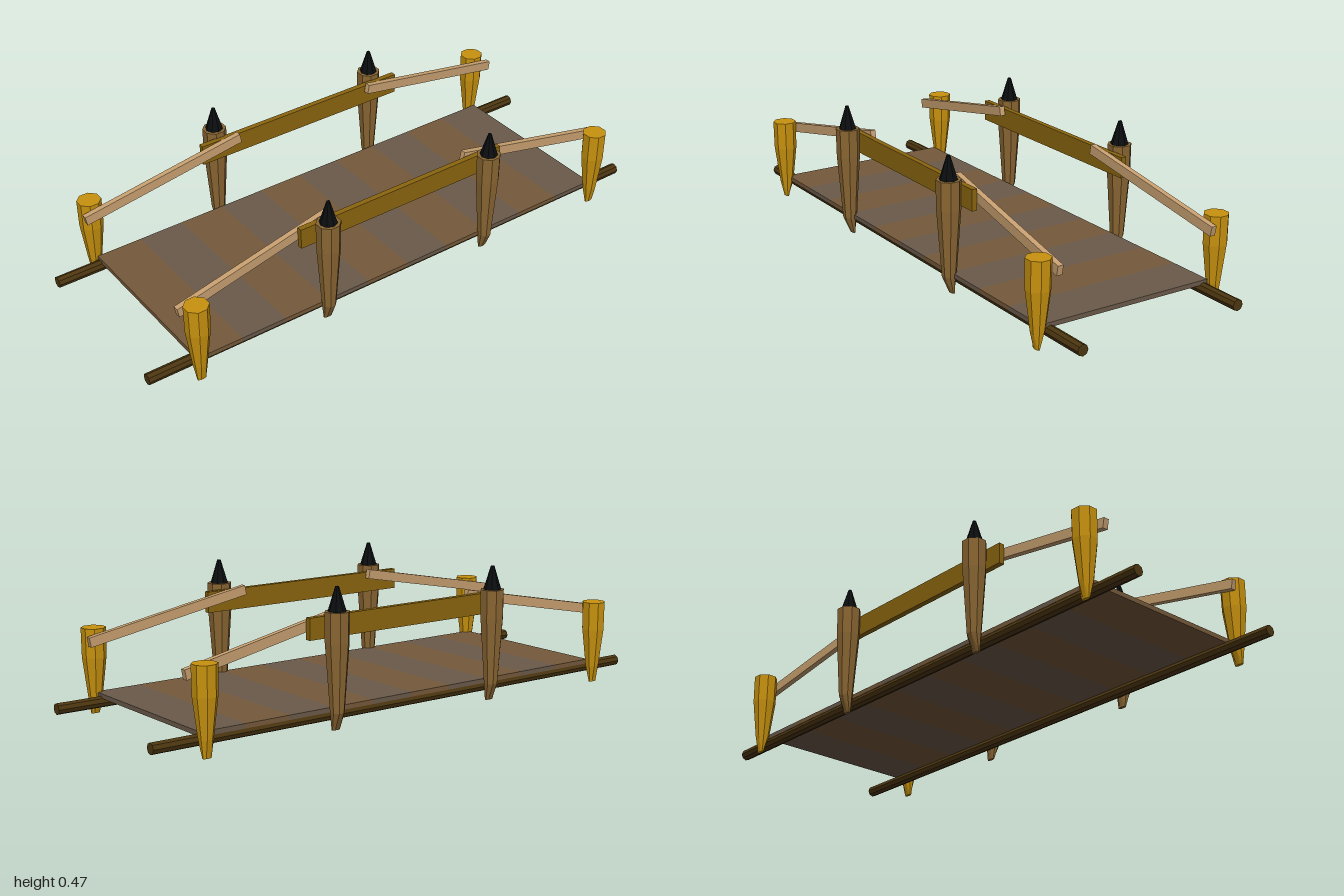
import * as THREE from 'three';

const mat = (color) => new THREE.MeshStandardMaterial({ color, flatShading: true });

export function createModel() {
  const model = new THREE.Group();
  const gold = mat(0xc8920e), wood = mat(0x8a6632), black = mat(0x0b0d0f);
  const paleWood = mat(0xc8a070), railWood = mat(0x8a650f), beamWood = mat(0x4c3610);
  const plankColors = [mat(0x6a5a4a), mat(0x75593a)];

  const add = (name, geometry, material, x = 0, y = 0, z = 0) => {
    const mesh = new THREE.Mesh(geometry, material);
    mesh.name = name;
    mesh.position.set(x, y, z);
    model.add(mesh);
    return mesh;
  };

  // Tapered eight-sided stake, its foot hewn to a narrow blade shifted sideways
  const stake = (height, shift) => {
    const profile = [[0, 0], [0.016, 0], [0.0245, 0.06], [0.041, height - 0.1], [0.042, height], [0, height]]
      .map(([r, y]) => new THREE.Vector2(r, y));
    const geometry = new THREE.LatheGeometry(profile, 8, Math.PI / 8);
    const p = geometry.attributes.position;
    for (let i = 0; i < p.count; i++) {
      if (p.getY(i) < 0.01) p.setX(i, p.getX(i) * 0.4 + shift);
    }
    geometry.computeVertexNormals();
    return geometry;
  };

  // Deck planks in alternating browns
  const plankLength = 1.67 / 10;
  for (let i = 0; i < 10; i++) {
    add('deckPlank', new THREE.BoxGeometry(0.655, 0.016, plankLength), plankColors[i % 2],
      0.01, 0.068, -0.835 + (i + 0.5) * plankLength);
  }

  for (const side of [-1, 1]) {
    // Long log under the deck edge
    const beam = add('beam', new THREE.CylinderGeometry(0.0195, 0.0195, 2, 8), beamWood, side * 0.301, 0.048, 0);
    beam.rotation.x = Math.PI / 2;

    // Level middle rail
    add('middleRail', new THREE.BoxGeometry(0.02, 0.073, 0.83), railWood, side * 0.298, 0.339, 0);

    for (const end of [-1, 1]) {
      add('endPost', stake(0.295, side * 0.004), gold, side * 0.345, 0, end * 0.832);
      add('middlePost', stake(0.39, side * -0.009), wood, side * 0.343, 0.004, end * 0.333);
      add('postSpike', new THREE.CylinderGeometry(0.006, 0.031, 0.082, 8), black,
        side * 0.343, 0.434, end * 0.333);

      // Sloping rail from the middle rail down to the end post
      const high = new THREE.Vector3(side * 0.273, 0.372, end * 0.275);
      const low = new THREE.Vector3(side * 0.297, 0.256, end * 0.875);
      const rail = add('slopingRail', new THREE.BoxGeometry(0.02, 0.034, high.distanceTo(low)), paleWood);
      rail.position.copy(high).lerp(low, 0.5);
      rail.lookAt(low);
    }
  }
  return model;
}
